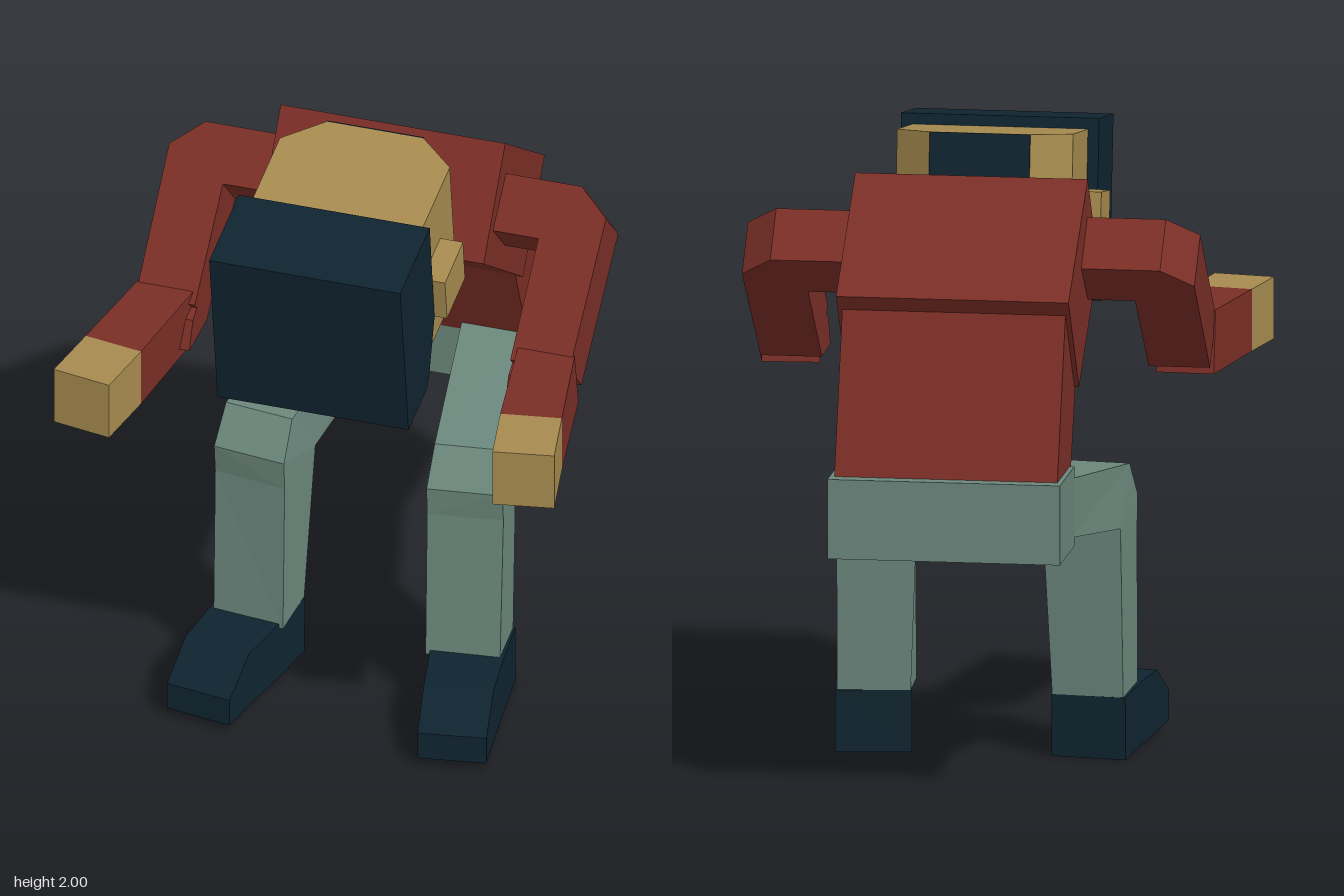
import * as THREE from 'three';

const mat = (name, color) => {
  const m = new THREE.MeshStandardMaterial({ color });
  m.name = name;
  return m;
};

// Flat-faced solid through matching rings of points, capped at both ends
function loft(rings) {
  const tris = [];
  const n = rings[0].length;
  for (let r = 0; r + 1 < rings.length; r++) {
    for (let i = 0; i < n; i++) {
      const j = (i + 1) % n;
      const [a, b, c, d] = [rings[r][i], rings[r][j], rings[r + 1][j], rings[r + 1][i]];
      tris.push([a, b, c], [a, c, d]);
    }
  }
  const first = rings[0], last = rings[rings.length - 1];
  for (let i = 1; i + 1 < n; i++) {
    tris.push([first[0], first[i + 1], first[i]], [last[0], last[i], last[i + 1]]);
  }
  // Turn every face outward, and drop empty ones
  const v = p => new THREE.Vector3(...p);
  let volume = 0;
  for (const [a, b, c] of tris) volume += v(a).dot(v(b).cross(v(c)));
  const solid = tris.filter(([a, b, c]) => v(b).sub(v(a)).cross(v(c).sub(v(a))).length() > 1e-8);
  const flat = solid.flatMap(([a, b, c]) => (volume > 0 ? [...a, ...b, ...c] : [...a, ...c, ...b]));
  const geo = new THREE.BufferGeometry();
  geo.setAttribute('position', new THREE.Float32BufferAttribute(flat, 3));
  geo.computeVertexNormals();
  return geo;
}

// Side profile of [z, y] points, extended across x
const slab = (x0, x1, profile) => loft([x0, x1].map(x => profile.map(([z, y]) => [x, y, z])));

export function createModel() {
  const model = new THREE.Group();
  model.name = 'crouchingFigure';
  const red = mat('rust red', 0x7a2e26);
  const green = mat('grey green', 0x6b877c);
  const tan = mat('tan', 0xa68b4f);
  const navy = mat('dark navy', 0x0f2430);
  const add = (parent, name, geo, material) => {
    const mesh = new THREE.Mesh(geo, material);
    mesh.name = name;
    parent.add(mesh);
  };

  // Body
  add(model, 'pelvis', slab(-0.37, 0.37, [[-0.48, 0.78], [-0.48, 1.035], [-0.8, 1.035], [-0.8, 0.78]]), green);
  add(model, 'lowerTorso', slab(-0.355, 0.355, [[-0.485, 0.95], [-0.33, 1.34], [-0.56, 1.58], [-0.77, 0.98]]), red);
  add(model, 'upperTorso', slab(-0.37, 0.37, [[0.04, 1.59], [-0.19, 1.9], [-0.61, 1.585], [-0.38, 1.27]]), red);

  // Head, tipped forward about its back top edge
  const head = new THREE.Group();
  head.name = 'head';
  head.position.set(0, 2, 0);
  head.rotation.x = 0.147;
  model.add(head);
  const plan = [[0.16, 0], [0.28, 0.11], [0.28, 0.6], [-0.28, 0.6], [-0.28, 0.11], [-0.16, 0]];
  // Top front slopes into the face block
  add(head, 'skull', loft([0, -0.515].map(y => plan.map(([x, z]) => [x, y, z]))), tan);
  add(head, 'faceBlock', slab(-0.315, 0.315,
    [[0.435, 0.035], [0.753, 0.035], [0.75, -0.546], [0.548, -0.546], [0.52, -0.51], [0.44, -0.34]]), navy);
  const backPlate = new THREE.BoxGeometry(0.32, 0.515, 0.006);
  backPlate.translate(0, -0.2575, -0.002);
  add(head, 'backOfHead', backPlate, navy);

  for (const s of [1, -1]) {
    const side = s > 0 ? 'left' : 'right';
    const flip = rings => loft(rings.map(r => r.map(([x, y, z]) => [x * s, y, z])));

    add(head, side + 'Ear', slab(s * 0.27, s * 0.355,
      [[0.24, -0.187], [0.435, -0.19], [0.435, -0.34], [0.242, -0.338]]), tan);

    // Arm: sections run from the shoulder round the chamfered corner to the elbow
    const arm = new THREE.Group();
    arm.name = side + 'Arm';
    model.add(arm);
    const top = (x, u) => [x, 1.78 - 0.667 * u, -0.2 + 0.745 * u];
    const low = (x, u) => [x, 1.64 - 0.667 * u, -0.33 + 0.745 * u];
    const section = (xo, uo, xi, ui) => [top(xo, uo), top(xi, ui), low(xi, ui), low(xo, uo)];
    add(arm, side + 'UpperArm', flip([
      section(0.35, 0, 0.35, 0.19), section(0.62, 0, 0.52, 0.19),
      section(0.72, 0.09, 0.52, 0.19), section(0.715, 0.592, 0.52, 0.592),
    ]), red);
    add(arm, side + 'Elbow', slab(s * 0.52, s * 0.7,
      [[0.11, 1.246], [0.2, 1.37], [0.26, 1.34], [0.3, 1.25]]), red);
    const cut = (xo, zo, xi, zi, back = 0) => [
      [xo, 1.414, zo], [xi, 1.414, zi], [xi, 1.215, zi - back], [xo, 1.215, zo - back]];
    const wrist = cut(0.785, 0.547, 0.592, 0.58);
    add(arm, side + 'Forearm', flip([cut(0.72, 0.2, 0.535, 0.21, 0.04), wrist]), red);
    add(arm, side + 'Hand', flip([wrist, cut(0.825, 0.757, 0.632, 0.792)]), tan);

    // Leg: sections run from hip over the knee to the ankle, turned slightly outward
    const leg = new THREE.Group();
    leg.name = side + 'Leg';
    model.add(leg);
    const kneeBack = [[0.2, 0.755, -0.01], [0.452, 0.75, -0.037]];
    add(leg, side + 'ThighAndShin', flip([
      [[0.365, 1.0, -0.5], [0.135, 1.0, -0.5], [0.135, 0.81, -0.5], [0.365, 0.81, -0.5]],
      [[0.462, 0.935, 0.095], [0.235, 0.935, 0.125], ...kneeBack],
      [[0.475, 0.82, 0.18], [0.235, 0.82, 0.212], ...kneeBack],
      [[0.475, 0.72, 0.168], [0.235, 0.72, 0.205], ...kneeBack],
      [[0.472, 0.2, 0.195], [0.235, 0.2, 0.222], [0.225, 0.2, 0.028], [0.455, 0.2, 0]],
    ]), green);
    add(leg, side + 'Shoe', flip([
      [[0.462, 0.2, -0.003], [0.222, 0.2, 0.03], [0.222, 0, 0.035], [0.462, 0, 0]],
      [[0.484, 0.215, 0.19], [0.25, 0.215, 0.225], [0.25, 0.011, 0.225], [0.484, 0.011, 0.19]],
      [[0.508, 0.218, 0.375], [0.288, 0.218, 0.41], [0.288, 0.022, 0.41], [0.508, 0.022, 0.375]],
      [[0.526, 0.125, 0.515], [0.31, 0.125, 0.55], [0.31, 0.03, 0.55], [0.526, 0.03, 0.515]],
    ]), navy);
  }
  return model;
}
